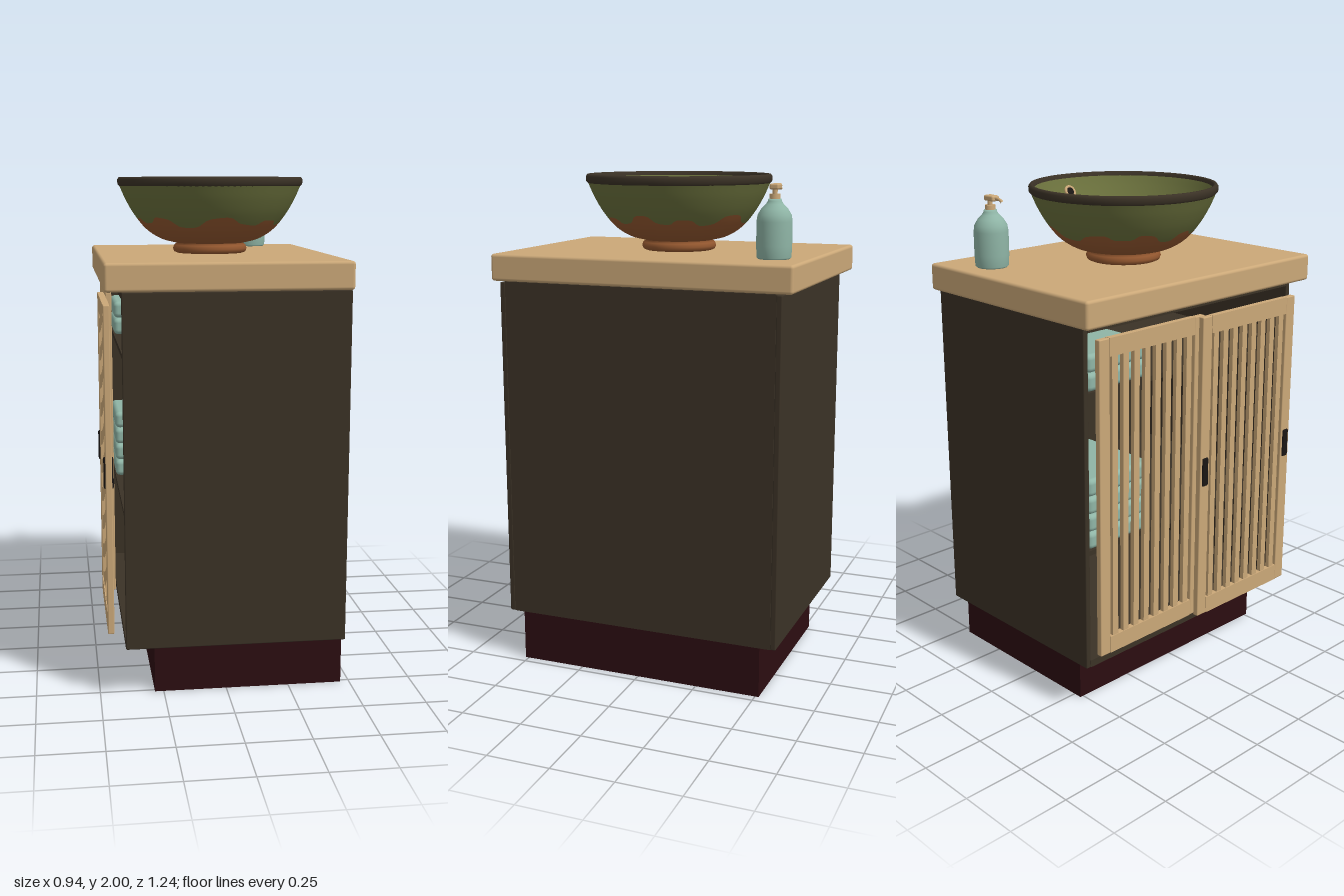
import * as THREE from 'three';
import { RoundedBoxGeometry } from 'three/addons/geometries/RoundedBoxGeometry.js';

const mat = (name, color, extra = {}) => {
  const m = new THREE.MeshStandardMaterial({ color, ...extra });
  m.name = name;
  return m;
};

export function createModel() {
  const wood = mat('pale wood', 0xcba878);
  const dark = mat('dark brown', 0x3b3226);
  const plinthRed = mat('deep red', 0x2c0d11);
  const olive = mat('olive glaze', 0x6a703c);
  const teal = mat('teal glaze', 0x42705a);
  const clay = mat('bare clay', 0x93572f);
  const mint = mat('mint ceramic', 0x8fb5a6);
  const black = mat('black', 0x1a1614);

  const model = new THREE.Group();
  model.name = 'washstand';

  const group = (name, parent = model) => {
    const g = new THREE.Group();
    g.name = name;
    parent.add(g);
    return g;
  };
  const add = (parent, name, geo, material, x = 0, y = 0, z = 0) => {
    const m = new THREE.Mesh(geo, material);
    m.name = name;
    m.position.set(x, y, z);
    parent.add(m);
    return m;
  };
  // box given by its limits on each axis
  const box = (parent, name, material, [x0, x1], [y0, y1], [z0, z1], r = 0) => {
    const s = [x1 - x0, y1 - y0, z1 - z0];
    const geo = r ? new RoundedBoxGeometry(...s, 3, r) : new THREE.BoxGeometry(...s);
    return add(parent, name, geo, material, (x0 + x1) / 2, (y0 + y1) / 2, (z0 + z1) / 2);
  };
  const lathe = (pts, seg = 48) => new THREE.LatheGeometry(pts.map(p => new THREE.Vector2(...p)), seg);

  // cabinet, open on the door side
  const cabinet = group('cabinet');
  box(cabinet, 'plinth', plinthRed, [-0.285, 0.465], [0, 0.205], [-0.515, 0.515]);
  box(cabinet, 'countertop', wood, [-0.465, 0.465], [1.588, 1.695], [-0.62, 0.62], 0.012);
  for (const s of [-1, 1])
    box(cabinet, 'endPanel', dark, [-0.4, 0.465], [0.205, 1.585], s < 0 ? [-0.58, -0.558] : [0.558, 0.58], 0.004);
  box(cabinet, 'closedSide', dark, [0.443, 0.465], [0.205, 1.588], [-0.558, 0.558]);
  box(cabinet, 'floor', dark, [-0.4, 0.443], [0.205, 0.235], [-0.558, 0.558]);
  box(cabinet, 'ceiling', dark, [-0.4, 0.443], [1.56, 1.588], [-0.558, 0.558]);
  for (const y of [0.7, 1.33])
    box(cabinet, 'shelf', dark, [-0.39, 0.443], [y - 0.02, y], [-0.558, 0.558]);

  // folded towels on the shelves
  for (const [y, n] of [[0.7, 4], [1.33, 2]])
    for (let i = 0; i < n; i++)
      box(cabinet, 'towel', mint, [-0.39, -0.02], [y + i * 0.072, y + i * 0.072 + 0.07], [-0.55, -0.22], 0.02);

  // slatted sliding doors
  const slidingDoor = (name, x, z0, z1) => {
    const door = group(name);
    const xs = [x - 0.0125, x + 0.0125], w = 0.052, slats = 8;
    for (const z of [z0, z1 - w]) box(door, 'stile', wood, xs, [0.255, 1.535], [z, z + w], 0.004);
    for (const y of [0.255, 1.465]) box(door, 'rail', wood, xs, [y, y + 0.07], [z0 + w, z1 - w]);
    const pitch = (z1 - z0 - 2 * w) / slats;
    for (let i = 0; i < slats; i++) {
      const z = z0 + w + (i + 0.5) * pitch;
      box(door, 'slat', wood, [x - 0.009, x + 0.009], [0.325, 1.465], [z - 0.014, z + 0.014]);
    }
    return door;
  };
  slidingDoor('innerDoor', -0.4225, -0.535, 0.02);
  const outerDoor = slidingDoor('outerDoor', -0.454, -0.02, 0.535);
  for (const z of [0.006, 0.509])
    box(outerDoor, 'fingerPull', black, [-0.473, -0.435], [0.835, 0.955], [z - 0.016, z + 0.016], 0.006);

  // ring of a turned surface between two wavy limits along its profile
  const band = (pts, t0, t1, seg = 144, rows = 14) => {
    const curve = new THREE.CatmullRomCurve3(pts.map(([r, y]) => new THREE.Vector3(r, y, 0)));
    const pos = [], idx = [];
    for (let j = 0; j <= rows; j++)
      for (let i = 0; i < seg; i++) {
        const a = (i / seg) * Math.PI * 2;
        const p = curve.getPoint(THREE.MathUtils.lerp(t0(a), t1(a), j / rows));
        pos.push(p.x * Math.cos(a), p.y, p.x * Math.sin(a));
        if (j < rows) {
          const b = j * seg + i, c = j * seg + (i + 1) % seg;
          idx.push(b, b + seg, c, c, b + seg, c + seg);
        }
      }
    const g = new THREE.BufferGeometry();
    g.setAttribute('position', new THREE.Float32BufferAttribute(pos, 3));
    g.setIndex(idx);
    g.computeVertexNormals();
    return g;
  };

  // vessel basin with dripping glaze
  const basin = group('basin');
  const outer = [[0.135, 1.735], [0.2, 1.752], [0.26, 1.79], [0.31, 1.85], [0.345, 1.91], [0.37, 1.966]];
  const inner = [[0.356, 1.985], [0.335, 1.945], [0.3, 1.89], [0.24, 1.815], [0.15, 1.772], [0.001, 1.76]];
  const drip = a => 0.52 + 0.045 * Math.tanh(2 * Math.sin(9 * a + Math.sin(2 * a))) + 0.025 * Math.sin(5 * a + 1);
  const pool = a => 0.4 + 0.006 * Math.sin(11 * a) + 0.006 * Math.sin(4 * a);
  const zero = () => 0, one = () => 1;
  add(basin, 'bareClayBowl', band(outer, zero, drip), clay);
  add(basin, 'outerGlaze', band(outer, drip, one), olive);
  add(basin, 'innerGlaze', band(inner, zero, pool), olive);
  add(basin, 'innerPool', band(inner, pool, one), teal);
  add(basin, 'rim', lathe([[0.369, 1.964], [0.377, 1.972], [0.378, 1.99], [0.372, 1.999], [0.364, 2],
    [0.358, 1.996], [0.355, 1.983]], 96), dark);
  add(basin, 'foot', lathe([[0.135, 1.695], [0.147, 1.7], [0.152, 1.713], [0.147, 1.727], [0.137, 1.734],
    [0.145, 1.742]], 64), clay);

  // drain with six holes
  add(basin, 'drain', lathe([[0.06, 1.755], [0.059, 1.772], [0.045, 1.779], [0.02, 1.783], [0, 1.784]]), wood);
  for (let i = 0; i < 6; i++) {
    const a = (i * Math.PI) / 3;
    add(basin, 'drainHole', new THREE.CylinderGeometry(0.009, 0.009, 0.008, 16), black,
      0.031 * Math.cos(a), 1.779, 0.031 * Math.sin(a));
  }

  // overflow ring on the inner wall
  const overflow = group('overflow', basin);
  overflow.position.set(0.322, 1.932, 0);
  overflow.rotation.z = 1.04;
  add(overflow, 'overflowRing', new THREE.TorusGeometry(0.022, 0.006, 10, 32), wood).rotation.x = Math.PI / 2;
  add(overflow, 'overflowHole', new THREE.CylinderGeometry(0.02, 0.02, 0.006, 24), black);

  // soap dispenser
  const soap = group('soapDispenser');
  soap.position.set(0.245, 1.695, -0.48);
  add(soap, 'bottle', lathe([[0, 0], [0.06, 0], [0.066, 0.006], [0.068, 0.05], [0.068, 0.14], [0.064, 0.165],
    [0.05, 0.188], [0.034, 0.204], [0.026, 0.216], [0.025, 0.224], [0, 0.225]]), mint);
  add(soap, 'collar', new THREE.CylinderGeometry(0.02, 0.021, 0.02, 24), wood, 0, 0.232, 0);
  add(soap, 'stem', new THREE.CylinderGeometry(0.01, 0.01, 0.03, 16), wood, 0, 0.25, 0);
  box(soap, 'pumpHead', wood, [-0.038, 0.018], [0.258, 0.28], [-0.018, 0.018], 0.007);
  const spout = new THREE.QuadraticBezierCurve3(new THREE.Vector3(-0.03, 0.269, 0),
    new THREE.Vector3(-0.062, 0.272, 0), new THREE.Vector3(-0.076, 0.258, 0));
  add(soap, 'spout', new THREE.TubeGeometry(spout, 10, 0.006, 10), wood);

  return model;
}
